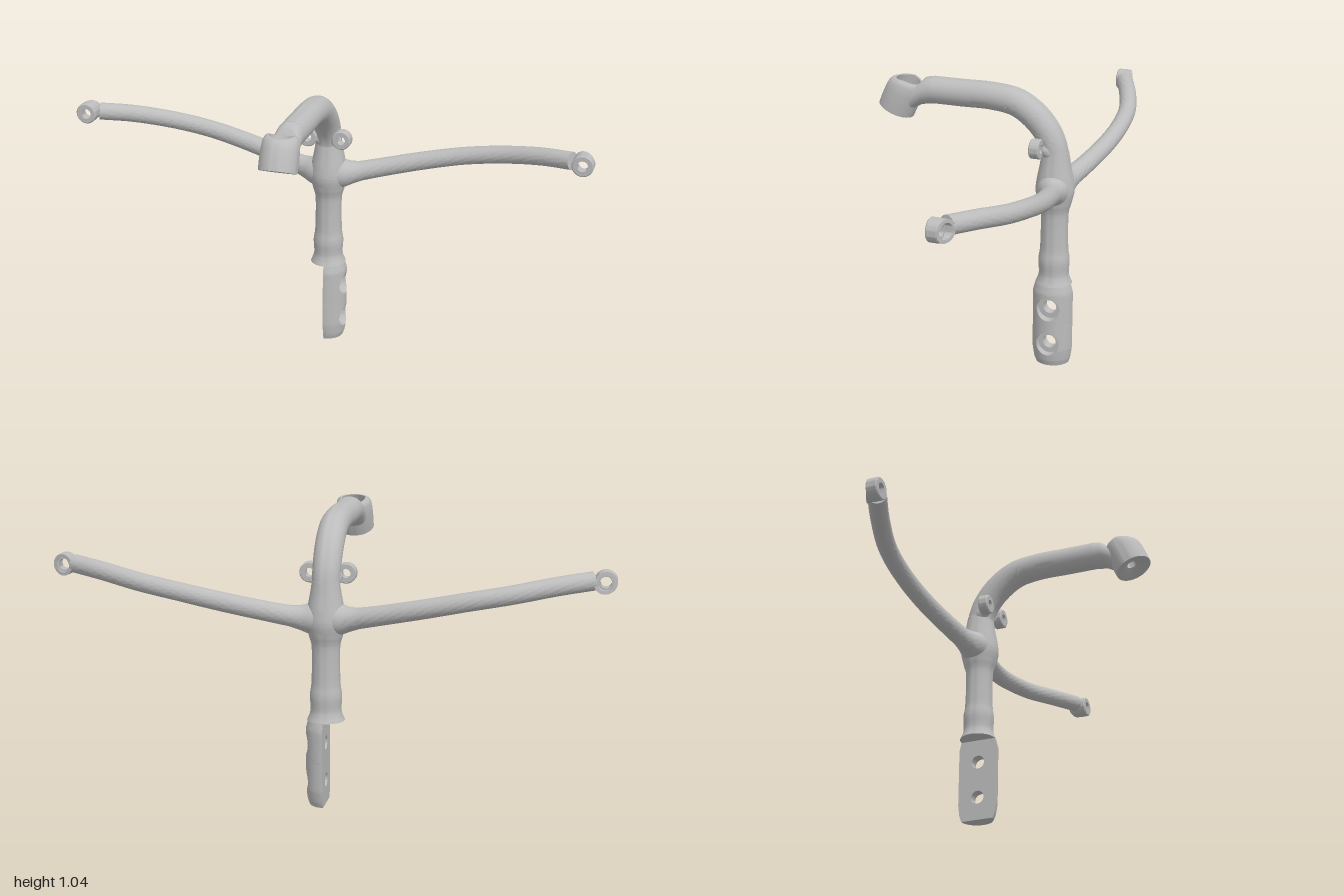
import * as THREE from 'three';
import { mergeGeometries, toCreasedNormals } from 'three/addons/utils/BufferGeometryUtils.js';

const V3 = (x, y, z) => new THREE.Vector3(x, y, z);
const V2 = (x, y) => new THREE.Vector2(x, y);
const clamp01 = (t) => THREE.MathUtils.clamp(t, 0, 1);
const STEM_Z = -0.285;

// Skin between equal-length closed rings, with optional flat caps
function loft(rings, capped = true) {
  const n = rings[0].length, pos = [], index = [];
  rings.forEach((r) => r.forEach((p) => pos.push(p.x, p.y, p.z)));
  for (let i = 0; i < rings.length - 1; i++) {
    for (let j = 0; j < n; j++) {
      const a = i * n + j, b = i * n + (j + 1) % n;
      index.push(a, b, a + n, b, b + n, a + n);
    }
  }
  if (capped) {
    const last = (rings.length - 1) * n;
    for (let j = 1; j < n - 1; j++) {
      index.push(0, j + 1, j, last, last + j, last + j + 1);
    }
  }
  const g = new THREE.BufferGeometry();
  g.setAttribute('position', new THREE.Float32BufferAttribute(pos, 3));
  g.setIndex(index);
  return g;
}

// Move every vertex of a geometry by a rule
function deform(g, rule) {
  const p = g.attributes.position, v = V3(0, 0, 0);
  for (let i = 0; i < p.count; i++) {
    rule(v.fromBufferAttribute(p, i));
    p.setXYZ(i, v.x, v.y, v.z);
  }
  return g;
}

// Elliptical ring from a centre and two half-axes
function ring(c, u, v, n = 32) {
  return Array.from({ length: n }, (_, j) => {
    const t = (j / n) * Math.PI * 2;
    return c.clone().addScaledVector(u, Math.cos(t)).addScaledVector(v, Math.sin(t));
  });
}

// Round tube along a spline, one radius per control point
function tube(points, radii, steps = 60) {
  const curve = new THREE.CatmullRomCurve3(points, false, 'centripetal');
  const frames = curve.computeFrenetFrames(steps, false);
  const rings = [];
  for (let i = 0; i <= steps; i++) {
    const t = curve.getUtoTmapping(i / steps), f = t * (radii.length - 1);
    const k = Math.min(Math.floor(f), radii.length - 2);
    const r = THREE.MathUtils.lerp(radii[k], radii[k + 1], f - k);
    rings.push(ring(curve.getPointAt(i / steps),
      frames.normals[i].clone().multiplyScalar(r), frames.binormals[i].clone().multiplyScalar(r)));
  }
  return loft(rings);
}

// Half-width of the mounting plate at height y
const WIDTHS = [[0, 0.062], [0.02, 0.069], [0.06, 0.075], [0.28, 0.075], [0.31, 0.067]];
function plateWidth(y) {
  let i = 0;
  while (i < WIDTHS.length - 2 && y > WIDTHS[i + 1][0]) i++;
  const [y0, w0] = WIDTHS[i], [y1, w1] = WIDTHS[i + 1];
  return THREE.MathUtils.lerp(w0, w1, (y - y0) / (y1 - y0));
}

// Section of half-round plate with one counterbored screw hole
function plateCell(y0, y1, yc) {
  const side = 14, edge = [];
  const corners = [[1, y0], [1, y1], [-1, y1], [-1, y0]];
  corners.forEach(([u, y], i) => {
    const [u2, y2] = corners[(i + 1) % 4];
    for (let k = 0; k < side; k++) edge.push([u + (u2 - u) * k / side, y + (y2 - y) * k / side]);
  });
  const angles = edge.map(([u, y]) => Math.atan2(y - yc, u * 0.075));
  const circle = (r, x) => angles.map((t) => V3(x, yc + r * Math.sin(t), STEM_Z + r * Math.cos(t)));
  const surface = (s) => edge.map(([u, y], i) => {
    const cy = yc + 0.044 * Math.sin(angles[i]);
    const cu = Math.asin(0.044 * Math.cos(angles[i]) / plateWidth(cy)) / (Math.PI / 2);
    const py = cy + (y - cy) * s, a = (cu + (u - cu) * s) * Math.PI / 2, w = plateWidth(py);
    return V3(0.95 * w * Math.max(0, Math.cos(a)), py, STEM_Z + w * Math.sin(a));
  });
  const rim = surface(1).map((p) => V3(0, p.y, p.z));
  const rings = [rim, circle(0.025, 0), circle(0.025, 0.038), circle(0.044, 0.038)];
  for (let i = 0; i <= 10; i++) rings.push(surface(i / 10));
  rings.push(rim);
  return loft(rings, false);
}

// Eyelet facing +z: outer radius, hole radius, depth
function eyelet(R, h, d) {
  const g = new THREE.LatheGeometry([
    V2(h, 0), V2(R - 0.003, 0), V2(R, 0.003), V2(R, d - 0.004), V2(R - 0.004, d), V2(h, d), V2(h, 0),
  ], 36);
  return g.rotateX(Math.PI / 2);
}

export function createModel() {
  const model = new THREE.Group();
  const grey = new THREE.MeshStandardMaterial({ color: 0xbcbcbc });
  grey.name = 'lightGrey';
  const add = (name, geometry, x = 0, y = 0, z = 0) => {
    const mesh = new THREE.Mesh(toCreasedNormals(geometry, 0.7), grey);
    mesh.name = name;
    mesh.position.set(x, y, z);
    model.add(mesh);
    return mesh;
  };

  // Half-round mounting plate with two screw holes
  add('mountingPlate', mergeGeometries([
    plateCell(0, 0.1575, 0.087), plateCell(0.1575, 0.31, 0.224),
  ]));

  // Upright stem with swelling and hub
  const profile = new THREE.SplineCurve([
    V2(0.067, 0.31), V2(0.055, 0.345), V2(0.057, 0.4), V2(0.051, 0.45), V2(0.05, 0.57),
    V2(0.06, 0.615), V2(0.07, 0.66), V2(0.067, 0.7), V2(0.056, 0.76), V2(0.048, 0.81),
  ]).getPoints(54);
  add('stem', new THREE.LatheGeometry([V2(0, 0.31), ...profile, V2(0, 0.81)], 40), 0, 0, STEM_Z);

  // Neck bending forward from the stem
  add('neck', tube([
    V3(0, 0.76, -0.285), V3(0, 0.81, -0.281), V3(0, 0.865, -0.26), V3(0, 0.925, -0.212),
    V3(0, 0.972, -0.14), V3(0, 0.987, -0.05), V3(0, 0.987, 0.07), V3(0, 0.987, 0.185),
  ], [0.049, 0.049, 0.05, 0.051, 0.051, 0.05, 0.05, 0.05], 72));

  // Flared collar joining neck and socket
  const collar = [
    [0.18, 0.987, 0.05, 0.05, 0], [0.215, 0.982, 0.05, 0.052, -0.012],
    [0.235, 0.972, 0.051, 0.058, -0.02], [0.25, 0.957, 0.05, 0.066, -0.028],
  ].map(([z, y, hx, vy, vz]) => ring(V3(0, y, z), V3(hx, 0, 0), V3(0, vy, vz)));
  collar[3].forEach((p) => { p.z += 5 * p.x * p.x; });
  add('socketCollar', loft(collar));

  // Tilted front socket with counterbore and through hole, rim higher toward the neck
  const socketShape = new THREE.LatheGeometry([
    V2(0.018, 0.018), V2(0.045, 0), V2(0.068, 0), V2(0.069, 0.03), V2(0.068, 0.075), V2(0.065, 0.093),
    V2(0.059, 0.105), V2(0.051, 0.111), V2(0.044, 0.11), V2(0.044, 0.055), V2(0.018, 0.055), V2(0.018, 0.018),
  ], 48);
  deform(socketShape, (v) => { if (v.y > 0.08) v.y += 0.018 * clamp01(1 - v.z / 0.05); });
  add('frontSocket', socketShape, 0, 0.903, 0.333).rotation.x = -Math.atan2(0.4, 0.915);

  for (const s of [1, -1]) {
    const side = s > 0 ? 'left' : 'right';

    // Swept arm, thickened at the hub
    add(side + 'Arm', tube([
      V3(0.02 * s, 0.674, -0.287), V3(0.055 * s, 0.676, -0.293), V3(0.085 * s, 0.679, -0.3),
      V3(0.12 * s, 0.685, -0.309), V3(0.2 * s, 0.702, -0.328), V3(0.35 * s, 0.735, -0.355),
      V3(0.5 * s, 0.767, -0.364), V3(0.65 * s, 0.794, -0.349), V3(0.8 * s, 0.82, -0.303),
      V3(0.918 * s, 0.834, -0.254),
    ], [0.06, 0.055, 0.044, 0.037, 0.035, 0.034, 0.033, 0.033, 0.033, 0.033], 90));

    // Arm tip: eyelet with a slanted recess sleeve behind it
    add(side + 'ArmEyelet', eyelet(0.04, 0.02, 0.04), 0.96 * s, 0.83, -0.255);
    const sleeve = new THREE.LatheGeometry([
      V2(0.027, 0), V2(0.039, 0), V2(0.039, 0.004), V2(0.027, 0.004), V2(0.027, 0),
    ], 36).rotateX(Math.PI / 2);
    deform(sleeve, (v) => { if (v.z < 0.002) v.z -= 0.03 * clamp01((0.035 - v.x * s) / 0.07); });
    add(side + 'ArmRecess', sleeve, 0.96 * s, 0.83, -0.255);

    // Small eyelet on the neck
    add(side + 'NeckEyelet', eyelet(0.036, 0.016, 0.037), 0.065 * s, 0.83, -0.253);
    add(side + 'NeckLug', tube([
      V3(0, 0.79, -0.283), V3(0.022 * s, 0.812, -0.268), V3(0.04 * s, 0.826, -0.244),
    ], [0.04, 0.032, 0.018], 12));
  }
  return model;
}
